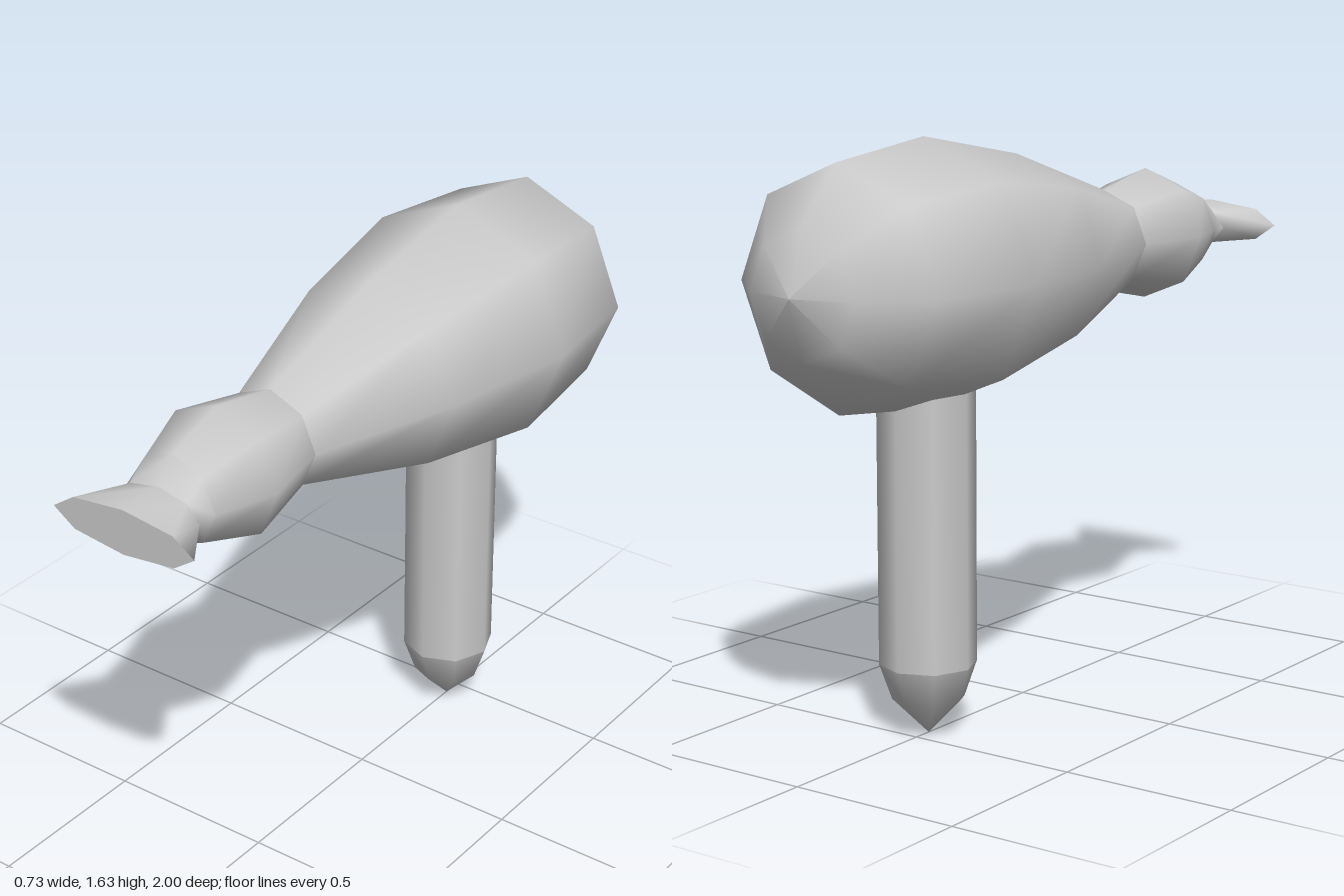
import * as THREE from 'three';

const SIDES = 8;
const AXIS_Y = 1.27;
const HANDLE_Z = -0.445;

export function createModel() {
  const model = new THREE.Group();
  const material = new THREE.MeshStandardMaterial({ color: 0xcccccc });

  const add = (name, geometry, x, y, z) => {
    const mesh = new THREE.Mesh(geometry, material);
    mesh.name = name;
    mesh.position.set(x, y, z);
    model.add(mesh);
  };

  // Octagonal turned shape from [radius, height] pairs, listed upwards
  const turned = (profile) =>
    new THREE.LatheGeometry(profile.map(([r, h]) => new THREE.Vector2(r, h)), SIDES);

  // Closed octagonal section along z with its own width and height at each end
  const section = (back, front) => {
    const geometry = new THREE.CylinderGeometry(1, 1, 1, SIDES).rotateX(Math.PI / 2);
    const p = geometry.attributes.position;
    for (let i = 0; i < p.count; i++) {
      const end = p.getZ(i) < 0 ? back : front;
      p.setXYZ(i, p.getX(i) * end.rx, p.getY(i) * end.ry, end.z);
    }
    geometry.computeVertexNormals();
    // Match the normals where the side wall closes on itself
    const n = geometry.attributes.normal;
    for (const row of [0, SIDES + 1]) {
      const a = new THREE.Vector3().fromBufferAttribute(n, row);
      const b = new THREE.Vector3().fromBufferAttribute(n, row + SIDES);
      a.add(b).normalize();
      n.setXYZ(row, a.x, a.y, a.z);
      n.setXYZ(row + SIDES, a.x, a.y, a.z);
    }
    return geometry;
  };

  // Motor housing, rounded at the back and tapering forward
  add('housing', turned([
    [0, -1], [0.172, -0.95], [0.325, -0.81], [0.365, -0.45], [0.287, -0.03], [0.147, 0.405],
  ]).rotateX(Math.PI / 2), 0, AXIS_Y, 0);

  // Bulged barrel
  add('barrel', turned([
    [0.147, 0.405], [0.193, 0.625], [0.132, 0.8],
  ]).rotateX(Math.PI / 2), 0, AXIS_Y, 0);

  // Neck flattening into the wide, thin nozzle
  add('neck', section({ rx: 0.132, ry: 0.132, z: 0.8 }, { rx: 0.13, ry: 0.065, z: 0.86 }), 0, AXIS_Y, 0);
  add('nozzle', section({ rx: 0.13, ry: 0.065, z: 0.86 }, { rx: 0.228, ry: 0.065, z: 1 }), 0, AXIS_Y, 0);

  // Handle with a pointed end
  add('handle', turned([[0.135, 0.2], [0.135, 1.03]]), 0, 0, HANDLE_Z);
  add('handleTip', turned([[0, 0], [0.1, 0.1], [0.135, 0.2]]), 0, 0, HANDLE_Z);

  return model;
}
